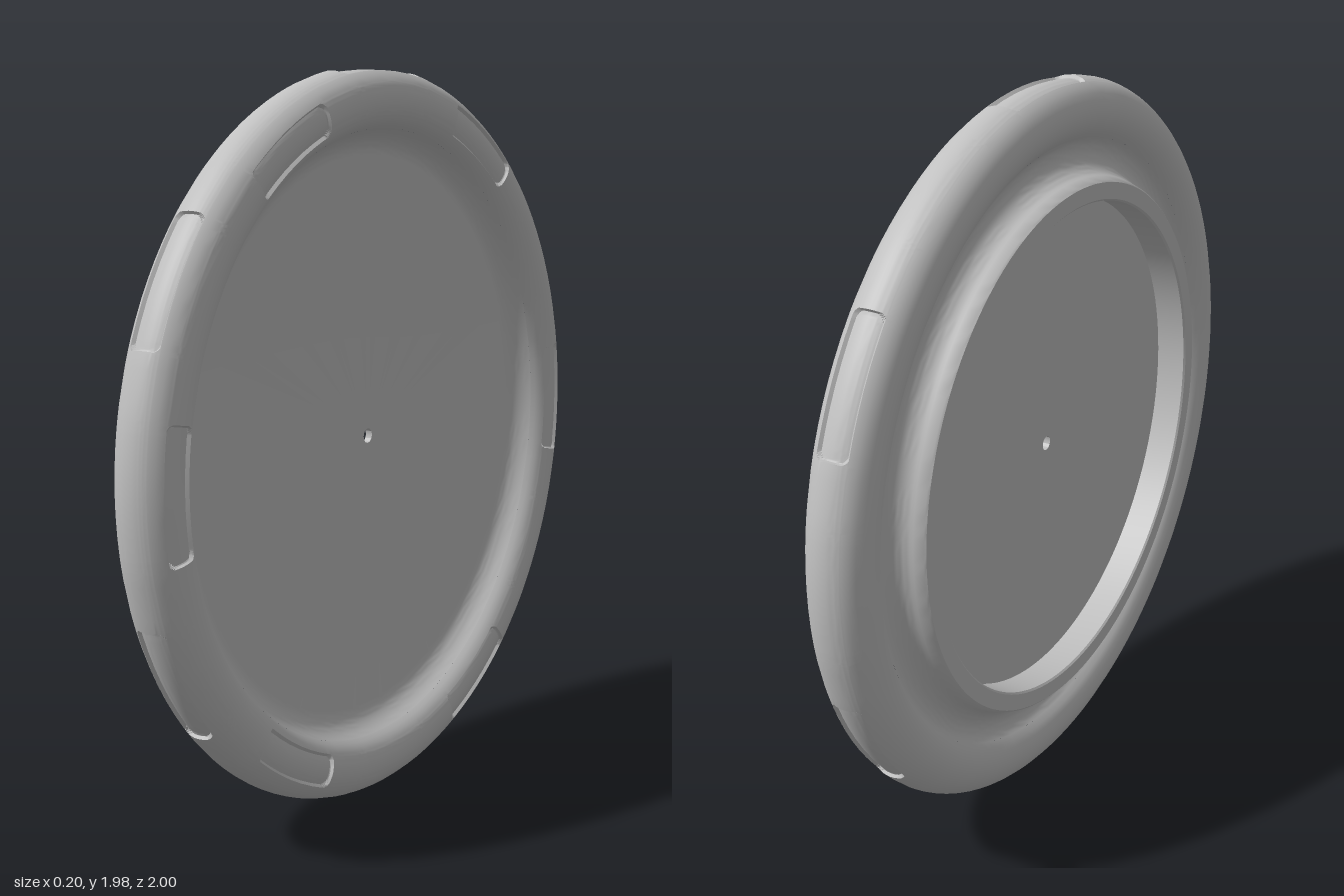
import * as THREE from 'three';
import { toCreasedNormals } from 'three/addons/utils/BufferGeometryUtils.js';

const DEG = Math.PI / 180;
const RIM_R = 0.9125;   // radius of the rim's centre line
const TUBE_R = 0.0875;  // radius of the rim's tube
const RIM_H = 0.0125;   // position of the rim along the axis
const PAD = { halfAngle: 10.4, halfWidth: 31, corner: 0.022, depth: 0.01 };

const v = (r, h) => new THREE.Vector2(r, h);
const onTube = (deg) => v(RIM_R + TUBE_R * Math.cos(deg * DEG), RIM_H + TUBE_R * Math.sin(deg * DEG));
const mirrored = (list) => [...list.map((a) => -a).reverse(), 0, ...list];

// Depth of the rounded-rectangle recess at an offset (degrees) from its centre
function recess(dTheta, dPhi, radius) {
  const u = Math.abs(dTheta * DEG * radius) - PAD.halfAngle * DEG * radius + PAD.corner;
  const w = Math.abs(dPhi * DEG * TUBE_R) - PAD.halfWidth * DEG * TUBE_R + PAD.corner;
  const d = Math.hypot(Math.max(u, 0), Math.max(w, 0)) + Math.min(Math.max(u, w), 0) - PAD.corner;
  return PAD.depth * THREE.MathUtils.clamp(-d / 0.003, 0, 1);
}

// Rim tube with recesses alternating between its outer edge and its face
function rimGeometry() {
  const around = mirrored([3, 6, 8.5, 9, 9.3, 9.6, 9.9, 10.1, 10.25, 10.4, 10.6, 12.5]);
  const thetas = [];
  for (let k = 0; k < 12; k++) thetas.push(...around.map((a) => 30 * k + a));
  thetas.push(360 + around[0]);

  const across = mirrored([8, 15, 18, 21, 24, 26.5, 29, 31, 33]);
  const phis = [-140, -128, -116, -104, -92, -80, -68, -56, -44,
    ...across, 45, ...across.map((a) => 90 + a), 132, 141, 150];

  const geo = new THREE.LatheGeometry(phis.map(onTube), thetas.length - 1);
  const pos = geo.attributes.position;
  thetas.forEach((theta, i) => phis.forEach((phi, j) => {
    const k = Math.round(theta / 30);
    const onFace = k % 2 === 0;
    const cut = recess(theta - 30 * k, phi - (onFace ? 90 : 0), onFace ? RIM_R : 1);
    const t = TUBE_R - cut;
    const r = RIM_R + t * Math.cos(phi * DEG);
    const a = (i === thetas.length - 1 ? thetas[0] : theta) * DEG;
    pos.setXYZ(i * phis.length + j, r * Math.sin(a), RIM_H + t * Math.sin(phi * DEG), r * Math.cos(a));
  }));
  geo.computeVertexNormals();
  return toCreasedNormals(geo, 0.5);
}

const lathe = (points, segments = 144) => toCreasedNormals(new THREE.LatheGeometry(points, segments), 0.5);

export function createModel() {
  const grey = new THREE.MeshStandardMaterial({ color: 0xc0c0c0 });
  grey.name = 'grey';

  const dish = new THREE.Group();
  dish.name = 'dish';
  const add = (name, geo) => {
    const mesh = new THREE.Mesh(geo, grey);
    mesh.name = name;
    dish.add(mesh);
  };

  add('rim', rimGeometry());

  // Front floor, curving up into the rim, with a small centre hole
  const bowl = new THREE.QuadraticBezierCurve(onTube(150), v(0.8065, 0.005), v(0.765, 0.005)).getPoints(12);
  add('floor', lathe([...bowl, v(0.02, 0.005), v(0.02, -0.015)]));

  // Back: sunken underside, foot ring and the hollow behind the rim
  const hollow = new THREE.CubicBezierCurve(v(0.748, -0.075), v(0.757, -0.03), v(0.813, -0.006), onTube(-140)).getPoints(16);
  add('foot', lathe([
    v(0.02, -0.015), v(0.685, -0.015), v(0.685, -0.1), v(0.69, -0.105),
    v(0.735, -0.105), v(0.74, -0.1), ...hollow,
  ]));

  // Stand the dish on its edge, its face towards +x
  dish.rotation.z = -Math.PI / 2;
  dish.position.y = 1;

  const model = new THREE.Group();
  model.name = 'roundDish';
  model.add(dish);
  return model;
}
